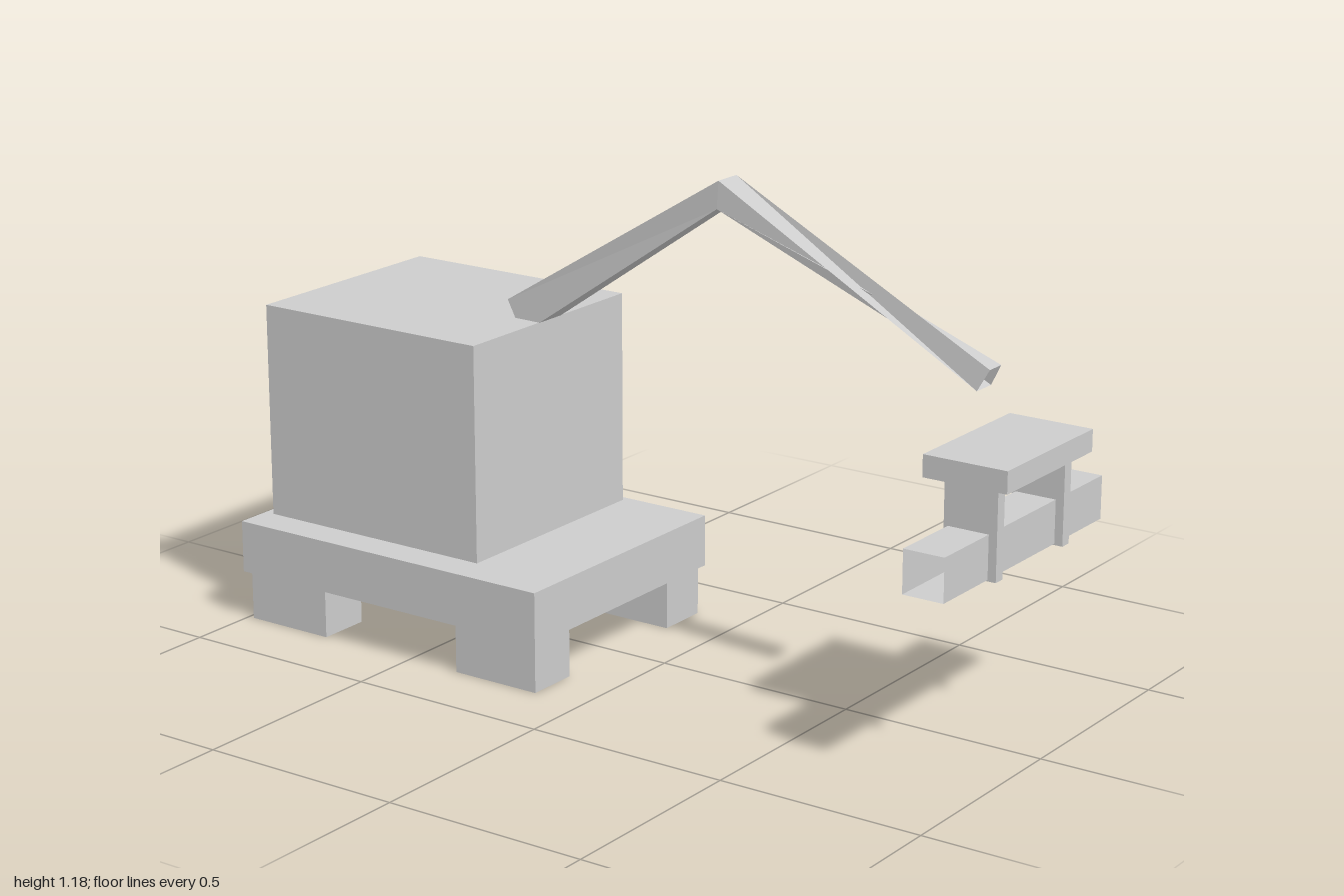
import * as THREE from 'three';

const grey = new THREE.MeshStandardMaterial({ color: 0xcccccc, side: THREE.DoubleSide });
grey.name = 'plain grey';

// Box from min/max ranges; "open" lists sides to leave out (0 +x, 1 -x, 2 +y, 3 -y, 4 +z, 5 -z)
function box(name, [x0, x1], [y0, y1], [z0, z1], open = []) {
  const g = new THREE.BoxGeometry(x1 - x0, y1 - y0, z1 - z0);
  if (open.length) {
    const kept = Array.from(g.index.array).filter((_, i) => !open.includes(Math.floor(i / 6)));
    g.setIndex(kept);
    g.clearGroups();
  }
  g.translate((x0 + x1) / 2, (y0 + y1) / 2, (z0 + z1) / 2);
  const mesh = new THREE.Mesh(g, grey);
  mesh.name = name;
  return mesh;
}

// Four-cornered cross-section of the arm: half width, y and z of its top and bottom edge
function section(top, bottom) {
  const [tw, ty, tz] = top;
  const [bw, by, bz] = bottom;
  return [[tw, ty, tz], [bw, by, bz], [-bw, by, bz], [-tw, ty, tz]];
}

// Open four-sided tube between two sections, optionally turned by a number of corners
function strut(name, start, end, twist = 0) {
  const positions = [];
  for (let i = 0; i < 4; i++) {
    const j = (i + 1) % 4;
    const a = start[i], b = start[j];
    const c = end[(i + twist) % 4], d = end[(j + twist) % 4];
    positions.push(...a, ...c, ...b, ...b, ...c, ...d);
  }
  const g = new THREE.BufferGeometry();
  g.setAttribute('position', new THREE.Float32BufferAttribute(positions, 3));
  g.computeVertexNormals();
  const mesh = new THREE.Mesh(g, grey);
  mesh.name = name;
  return mesh;
}

export function createModel() {
  const model = new THREE.Group();
  model.name = 'crane';

  // Undercarriage: four feet under a platform that is hollow below
  const undercarriage = new THREE.Group();
  undercarriage.name = 'undercarriage';
  for (const x of [-0.26, 0.258]) {
    for (const z of [-0.245, -0.87]) {
      undercarriage.add(box('foot', [x - 0.065, x + 0.065], [0, 0.12], [z - 0.115, z + 0.115]));
    }
  }
  undercarriage.add(box('platform', [-0.338, 0.338], [0.12, 0.247], [-1, -0.12], [3]));
  model.add(undercarriage);

  // Cabin with a raised panel on the back
  model.add(box('cabin', [-0.286, 0.284], [0.262, 0.78], [-0.945, -0.325]));
  model.add(box('backPanel', [-0.235, 0.23], [0.48, 0.715], [-0.96, -0.945]));

  // Bent arm: straight lower part, twisted upper part with an open tip
  const shoulder = section([0.036, 0.82, -0.42], [0.042, 0.745, -0.375]);
  const elbow = section([0.035, 1.18, 0.17], [0.034, 1.115, 0.165]);
  const tip = section([0.024, 0.86, 0.86], [0.03, 0.81, 0.833]);
  const arm = new THREE.Group();
  arm.name = 'arm';
  arm.add(strut('lowerArm', shoulder, elbow));
  arm.add(strut('upperArm', elbow, tip, 3));
  model.add(arm);

  // Hanging grab: top plate, two straps and a hollow crossbeam
  const grab = new THREE.Group();
  grab.name = 'grab';
  grab.add(box('topPlate', [-0.183, 0.183], [0.652, 0.703], [0.795, 1]));
  for (const x of [-0.144, 0.143]) {
    grab.add(box('strap', [x - 0.014, x + 0.014], [0.443, 0.652], [0.835, 0.965]));
  }
  grab.add(box('crossbeam', [-0.338, 0.338], [0.446, 0.547], [0.845, 0.945], [0, 1]));
  model.add(grab);

  return model;
}
